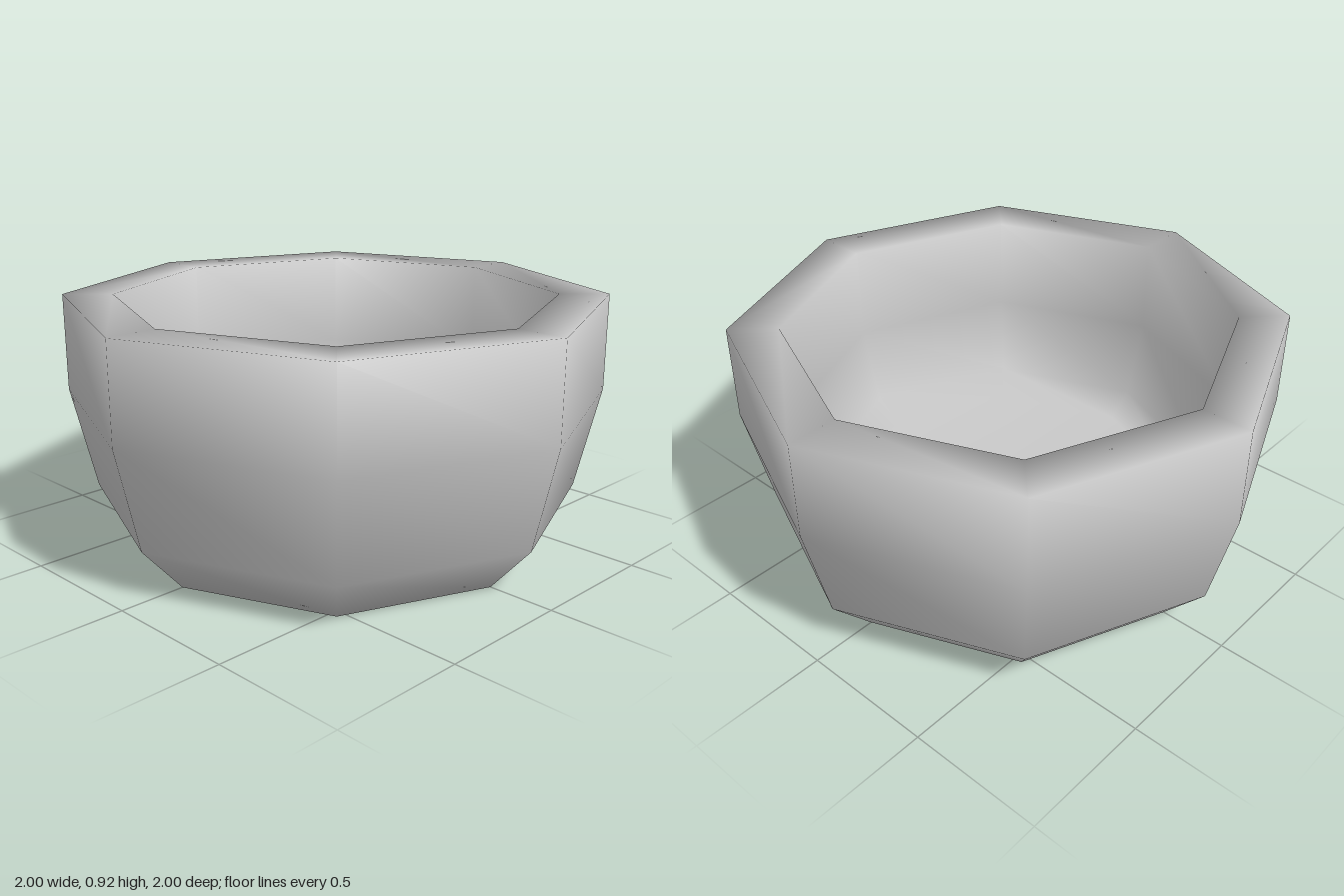
import * as THREE from 'three';

const grey = new THREE.MeshStandardMaterial({ color: 0xc8c8c8 });
grey.name = 'plain grey';

// Radius and height pairs: underside, outer wall, flat rim, inner wall, floor
const profile = [
  [0, 0], [0.75, 0], [0.91, 0.18], [1, 0.56], [1, 0.92],
  [0.815, 0.92], [0.815, 0.56], [0.74, 0.27], [0.64, 0.19], [0, 0.19],
];

export function createModel() {
  const model = new THREE.Group();
  model.name = 'octagonalBowl';

  // Thick-walled, eight-sided bowl with smooth normals
  const points = profile.map(([radius, height]) => new THREE.Vector2(radius, height));
  const bowl = new THREE.Mesh(new THREE.LatheGeometry(points, 8), grey);
  bowl.name = 'bowl';
  model.add(bowl);

  return model;
}
